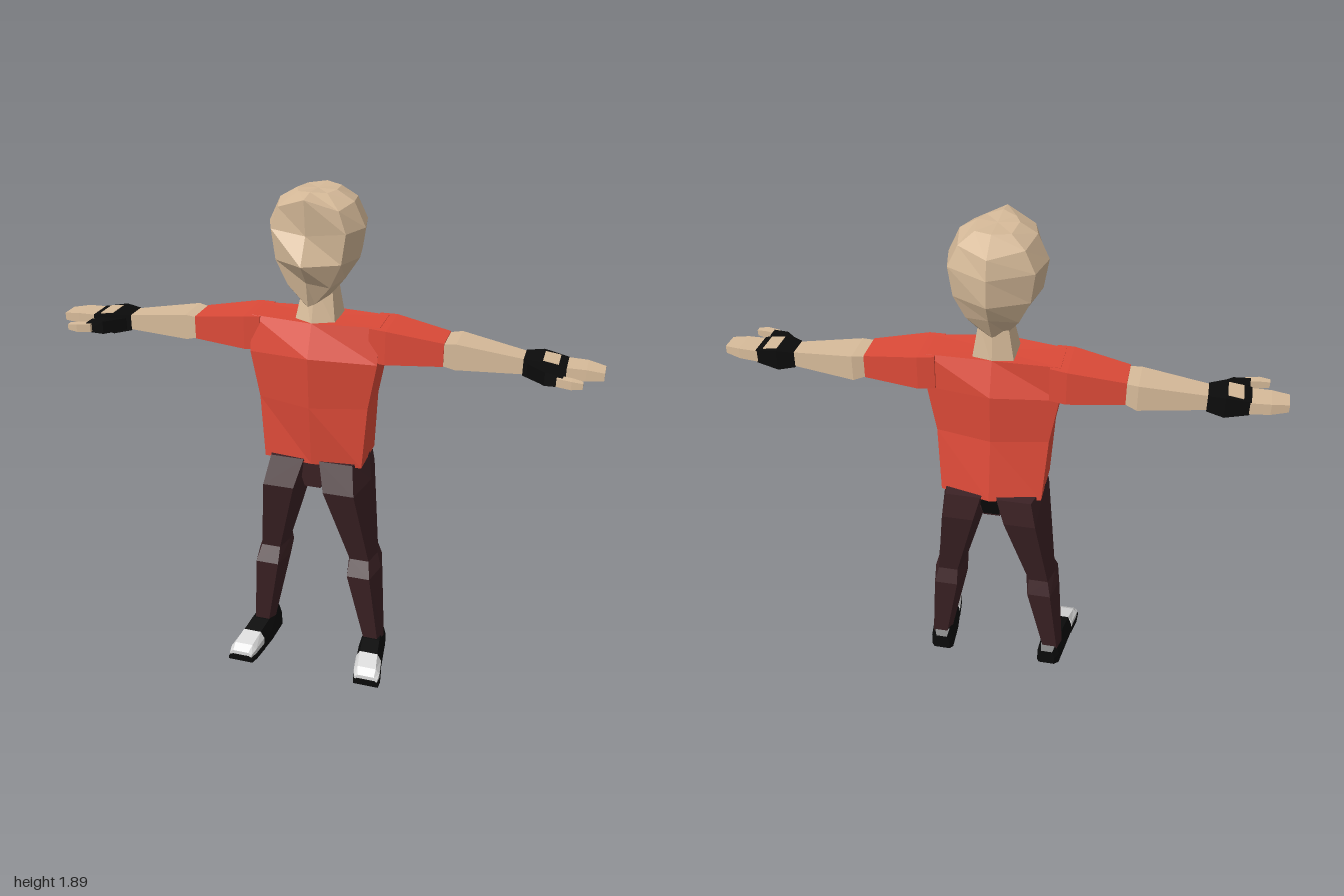
import * as THREE from 'three';

const mat = (name, color) => {
  const m = new THREE.MeshStandardMaterial({ color });
  m.name = name;
  return m;
};

// Flat-faced skin over closed cross-sections, capped at both ends, always facing outward
function loft(rings) {
  const tris = [];
  const n = rings[0].length;
  const mid = r => [0, 1, 2].map(k => r.reduce((s, p) => s + p[k], 0) / n);
  const first = rings[0], last = rings[rings.length - 1];
  for (let j = 0; j < n; j++) {
    const k = (j + 1) % n;
    for (let i = 0; i + 1 < rings.length; i++) {
      const a = rings[i], b = rings[i + 1];
      tris.push([a[j], a[k], b[k]], [a[j], b[k], b[j]]);
    }
    tris.push([mid(first), first[k], first[j]], [mid(last), last[j], last[k]]);
  }
  const c = mid(rings.map(mid).concat(rings.map(mid)).slice(0, n).length === n ? rings.map(mid).slice(0, n) : first);
  const v = p => new THREE.Vector3(p[0] - c[0], p[1] - c[1], p[2] - c[2]);
  const volume = tris.reduce((s, [p, q, r]) => s + v(p).dot(v(q).cross(v(r))), 0);
  if (volume < 0) tris.forEach(t => t.reverse());
  const g = new THREE.BufferGeometry();
  g.setAttribute('position', new THREE.Float32BufferAttribute(tris.flat(2), 3));
  g.computeVertexNormals();
  return g;
}

// Ring from its centre front point round to its centre back point, mirrored in x
const mirrorRing = half => [
  ...half,
  ...half.slice(1, -1).reverse().map(([x, y, z]) => [-x, y, z]),
];

// Four-sided section across the x axis
const armRing = ([x, y0, y1, z0, z1]) => [[x, y0, z0], [x, y1, z0], [x, y1, z1], [x, y0, z1]];

// Six-sided section of a leg: inner x, outer x, back z, front z
const legRing = ([y, x0, x1, z0, z1]) => {
  const i = (x1 - x0) * 0.16, m = (z0 + z1) / 2;
  return [[x0 + i, y, z1], [x1 - i, y, z1], [x1, y, m], [x1 - i, y, z0], [x0 + i, y, z0], [x0, y, m]];
};

// Shoe section: z, centre x, half width, bottom, top
const shoeRing = ([z, c, w, y0, y1]) => {
  const m = y0 + (y1 - y0) * 0.5;
  return [[c - w, y0, z], [c + w, y0, z], [c + w, m, z], [c + w * 0.7, y1, z], [c - w * 0.7, y1, z], [c - w, m, z]];
};

export function createModel() {
  const skin = mat('skin', 0xd6ba99);
  const red = mat('shirt red', 0xdc4a38);
  const brown = mat('trouser brown', 0x3c2225);
  const black = mat('black', 0x0b0b0b);
  const white = mat('toe cap white', 0xdadada);

  const model = new THREE.Group();
  const add = (name, rings, material, parent = model) => {
    const m = new THREE.Mesh(loft(rings), material);
    m.name = name;
    parent.add(m);
  };

  // Head: front, cheek, side, rear side and back point of each level
  add('head', [
    [[0, 1.89, 0.08], [0.05, 1.883, 0.05], [0.07, 1.885, 0], [0.06, 1.88, -0.09], [0, 1.885, -0.12]],
    [[0, 1.88, 0.15], [0.105, 1.84, 0.105], [0.13, 1.85, 0], [0.11, 1.84, -0.12], [0, 1.83, -0.195]],
    [[0, 1.757, 0.135], [0.13, 1.765, 0.105], [0.17, 1.765, 0], [0.145, 1.765, -0.125], [0, 1.765, -0.21]],
    [[0, 1.667, 0.19], [0.115, 1.66, 0.105], [0.152, 1.66, 0], [0.13, 1.66, -0.12], [0, 1.67, -0.208]],
    [[0, 1.595, 0.13], [0.075, 1.575, 0.1], [0.1, 1.58, 0], [0.09, 1.58, -0.11], [0, 1.61, -0.175]],
    [[0, 1.505, 0.11], [0.02, 1.51, 0.09], [0.05, 1.52, 0], [0.045, 1.52, -0.08], [0, 1.52, -0.12]],
  ].map(mirrorRing), skin);

  add('neck', [
    [[0, 1.56, 0.03], [0.05, 1.56, -0.01], [0.05, 1.56, -0.09], [0, 1.56, -0.11]],
    [[0, 1.41, 0.075], [0.075, 1.41, 0.03], [0.075, 1.41, -0.1], [0, 1.41, -0.12]],
  ].map(mirrorRing), skin);

  // Torso
  add('shirt', [
    [[0, 1.43, 0.07], [0.235, 1.425, 0.03], [0.235, 1.425, -0.11], [0, 1.43, -0.12]],
    [[0, 1.315, 0.12], [0.235, 1.295, 0.055], [0.235, 1.295, -0.11], [0, 1.305, -0.16]],
    [[0, 1.12, 0.105], [0.203, 1.12, 0.05], [0.203, 1.12, -0.11], [0, 1.12, -0.152]],
    [[0, 0.88, 0.075], [0.186, 0.88, 0.055], [0.186, 0.88, -0.14], [0, 0.88, -0.185]],
  ].map(mirrorRing), red);

  // Crotch between the legs, with the black seat panel behind
  add('crotch', [
    legRing([0.89, -0.09, 0.09, -0.165, 0.072]),
    legRing([0.775, -0.045, 0.045, -0.13, 0.06]),
  ], brown);
  add('seatPanel', [
    [[-0.045, 0.895, -0.172], [0.045, 0.895, -0.172], [0.045, 0.895, -0.164], [-0.045, 0.895, -0.164]],
    [[-0.03, 0.79, -0.142], [0.03, 0.79, -0.142], [0.03, 0.79, -0.134], [-0.03, 0.79, -0.134]],
  ], black);

  for (const [side, s] of [['left', 1], ['right', -1]]) {
    const flip = rings => rings.map(r => r.map(([x, y, z]) => [x * s, y, z]));
    const limb = (name, ring, sections, material, parent) =>
      add(side + name, flip(sections.map(ring)), material, parent);

    // Arm: x, bottom, top, back, front
    const arm = new THREE.Group();
    arm.name = side + 'Arm';
    model.add(arm);
    limb('Sleeve', armRing, [
      [0.2, 1.3, 1.425, -0.125, 0.045],
      [0.26, 1.298, 1.422, -0.135, 0.05],
      [0.46, 1.305, 1.39, -0.108, 0.022],
    ], red, arm);
    limb('Forearm', armRing, [
      [0.455, 1.307, 1.386, -0.105, 0.018],
      [0.5, 1.295, 1.39, -0.12, 0.015],
      [0.735, 1.303, 1.358, -0.08, 0],
    ], skin, arm);
    limb('Glove', armRing, [
      [0.73, 1.3, 1.36, -0.085, 0.005],
      [0.79, 1.29, 1.366, -0.097, 0.03],
      [0.875, 1.303, 1.352, -0.083, 0.018],
    ], black, arm);
    limb('HandPatch', armRing, [
      [0.795, 1.36, 1.367, -0.075, 0.012],
      [0.848, 1.352, 1.36, -0.075, 0.012],
    ], skin, arm);
    limb('Fingers', armRing, [
      [0.87, 1.307, 1.35, -0.085, 0.015],
      [0.94, 1.31, 1.35, -0.08, 0.015],
      [1.0, 1.315, 1.343, -0.06, 0.01],
    ], skin, arm);
    limb('ThumbBase', armRing, [
      [0.745, 1.305, 1.35, -0.03, 0.015],
      [0.81, 1.302, 1.35, 0, 0.075],
      [0.87, 1.31, 1.345, 0.045, 0.09],
    ], black, arm);
    limb('Thumb', armRing, [
      [0.85, 1.313, 1.342, 0.065, 0.097],
      [0.9, 1.313, 1.342, 0.077, 0.11],
      [0.937, 1.317, 1.338, 0.085, 0.107],
    ], skin, arm);

    // Leg: y, inner, outer, back, front
    const leg = new THREE.Group();
    leg.name = side + 'Leg';
    model.add(leg);
    limb('TrouserLeg', legRing, [
      [0.895, 0, 0.187, -0.19, 0.075],
      [0.79, 0.03, 0.203, -0.195, 0.12],
      [0.465, 0.125, 0.235, -0.115, 0.035],
      [0.405, 0.12, 0.252, -0.135, 0.07],
      [0.08, 0.19, 0.273, -0.085, 0.022],
    ], brown, leg);

    // Shoe with white toe cap on a black sole
    limb('Shoe', shoeRing, [
      [-0.105, 0.222, 0.032, 0.01, 0.075],
      [-0.08, 0.225, 0.045, 0, 0.1],
      [0.03, 0.235, 0.05, 0, 0.095],
      [0.105, 0.245, 0.05, 0, 0.083],
    ], black, leg);
    limb('Sole', shoeRing, [
      [0.1, 0.245, 0.052, 0, 0.035],
      [0.17, 0.256, 0.054, 0.002, 0.035],
      [0.207, 0.26, 0.05, 0.006, 0.032],
    ], black, leg);
    limb('ToeCap', shoeRing, [
      [0.104, 0.245, 0.051, 0.03, 0.085],
      [0.175, 0.256, 0.052, 0.03, 0.068],
      [0.203, 0.26, 0.046, 0.028, 0.048],
    ], white, leg);
  }
  return model;
}
